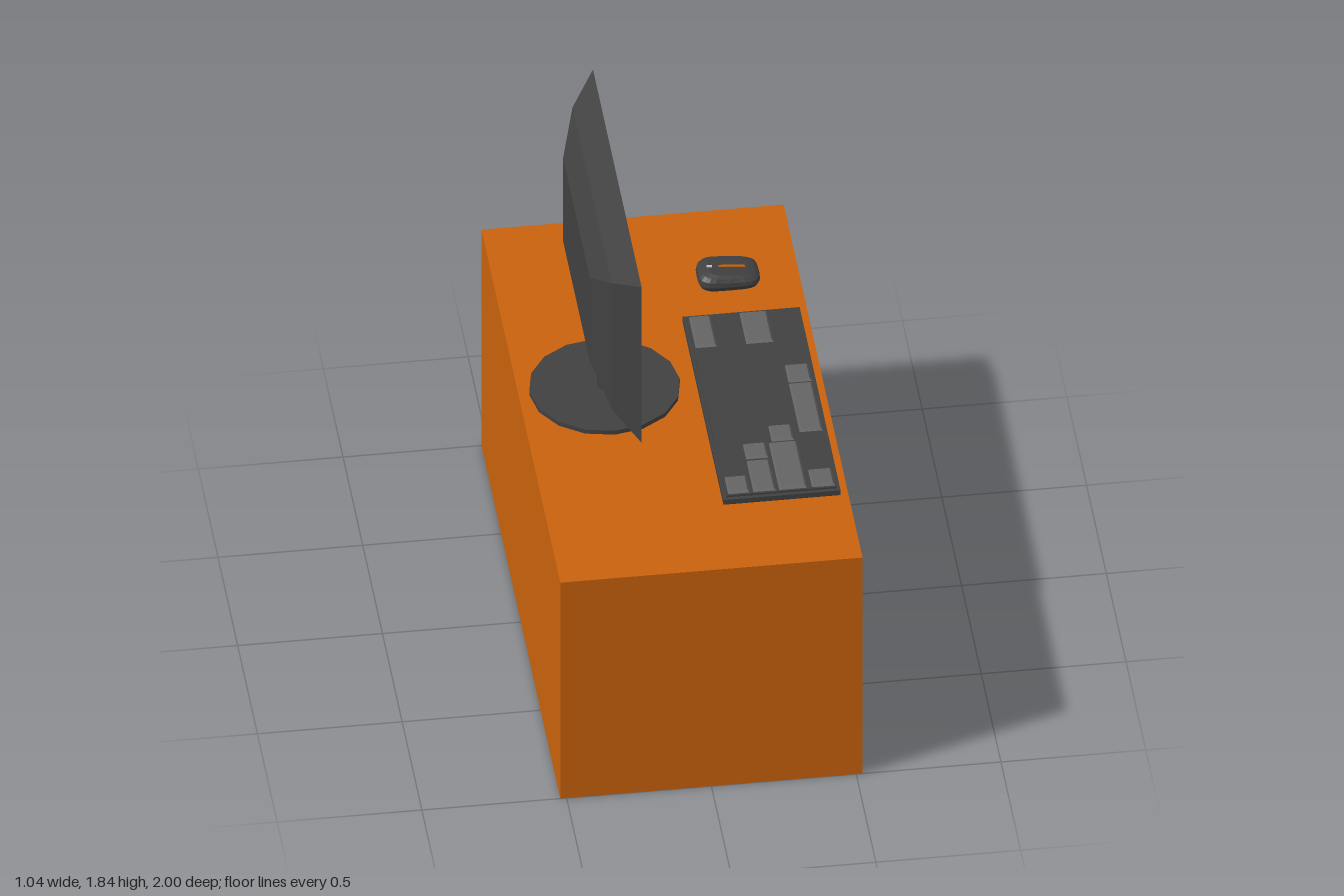
import * as THREE from 'three';

const mat = (name, color, flatShading = false) => {
  const m = new THREE.MeshStandardMaterial({ color, flatShading });
  m.name = name;
  return m;
};

// Skin between closed rings of points, with a flat cap at both ends.
// Rings run counter-clockwise seen from the end the loft moves toward.
function loft(rings) {
  const pos = [], n = rings[0].length;
  const tri = (...pts) => pts.forEach((p) => pos.push(...p));
  for (let i = 0; i < rings.length - 1; i++) {
    for (let j = 0; j < n; j++) {
      const k = (j + 1) % n;
      const a = rings[i][j], b = rings[i][k], c = rings[i + 1][k], d = rings[i + 1][j];
      tri(a, b, c);
      tri(a, c, d);
    }
  }
  const first = rings[0], last = rings[rings.length - 1];
  for (let j = 1; j < n - 1; j++) {
    tri(first[0], first[j + 1], first[j]);
    tri(last[0], last[j], last[j + 1]);
  }
  const g = new THREE.BufferGeometry();
  g.setAttribute('position', new THREE.Float32BufferAttribute(pos, 3));
  g.computeVertexNormals();
  return g;
}

export function createModel() {
  const model = new THREE.Group();
  model.name = 'computerDesk';

  const wood = mat('orangeWood', 0xc8610c);
  const dark = mat('darkPlastic', 0x404040);
  const keyGrey = mat('keyGrey', 0x636363);
  const light = mat('screenGrey', 0xc9c9c9);

  const add = (parent, name, geometry, material) => {
    const mesh = new THREE.Mesh(geometry, material);
    mesh.name = name;
    parent.add(mesh);
    return mesh;
  };
  const group = (name) => {
    const g = new THREE.Group();
    g.name = name;
    model.add(g);
    return g;
  };
  // Box given by its lower and upper bounds
  const box = (parent, name, material, [x0, x1], [y0, y1], [z0, z1]) => {
    const mesh = add(parent, name, new THREE.BoxGeometry(x1 - x0, y1 - y0, z1 - z0), material);
    mesh.position.set((x0 + x1) / 2, (y0 + y1) / 2, (z0 + z1) / 2);
    return mesh;
  };

  // Desk: open on the +x side, closed behind
  const desk = group('desk');
  const H = 0.932, under = 0.785;
  box(desk, 'deskTop', wood, [-0.522, 0.522], [under, H], [-1, 1]);
  box(desk, 'leftPanel', wood, [-0.522, 0.522], [0, under], [0.84, 1]);
  box(desk, 'rightPanel', wood, [-0.522, 0.522], [0, under], [-1, -0.828]);
  box(desk, 'backPanel', wood, [-0.522, -0.41], [0, under], [-0.828, 0.84]);

  // Monitor on a round foot
  const monitor = group('monitor');
  const cz = -0.058, cy = 1.5;
  const foot = add(monitor, 'foot', new THREE.CylinderGeometry(0.26, 0.26, 0.017, 16), dark);
  foot.position.set(-0.225, H + 0.0085, cz);
  const pole = add(monitor, 'pole', new THREE.CylinderGeometry(0.026, 0.026, 0.27, 16), dark);
  pole.position.set(-0.225, H + 0.135, cz);
  const rect = ([x, hy, hz]) => [[-1, -1], [1, -1], [1, 1], [-1, 1]]
    .map(([sy, sz]) => [x, cy + sy * hy, cz + sz * hz]);
  // Tapered back, front edge, bezel and shallow recess
  add(monitor, 'casing', loft([
    [-0.322, 0.18, 0.34], [-0.268, 0.272, 0.498], [-0.181, 0.336, 0.617],
    [-0.181, 0.31, 0.567], [-0.193, 0.31, 0.567],
  ].map(rect)), dark);
  box(monitor, 'screen', light, [-0.194, -0.191], [cy - 0.31, cy + 0.31], [cz - 0.567, cz + 0.567]);

  // Keyboard: base, raised plate and tapered light keys
  const keyboard = group('keyboard');
  box(keyboard, 'keyboardBase', dark, [0.09, 0.495], [H, 0.952], [-0.397, 0.642]);
  box(keyboard, 'keyPlate', dark, [0.102, 0.483], [0.952, 0.959], [-0.385, 0.628]);
  const keys = [
    [0.108, 0.186, -0.382, -0.205], [0.283, 0.381, -0.382, -0.205],
    [0.397, 0.481, -0.07, 0.03], [0.397, 0.481, 0.035, 0.31],
    [0.295, 0.376, 0.26, 0.35], [0.195, 0.276, 0.35, 0.437],
    [0.195, 0.276, 0.445, 0.622], [0.284, 0.384, 0.355, 0.622],
    [0.108, 0.186, 0.525, 0.622], [0.397, 0.481, 0.522, 0.622],
  ];
  const keyRing = (y, [x0, x1, z0, z1], s) => [
    [x0 + s, y, z0 + s], [x0 + s, y, z1 - s], [x1 - s, y, z1 - s], [x1 - s, y, z0 + s],
  ];
  keys.forEach((k) => {
    add(keyboard, 'key', loft([keyRing(0.957, k, 0), keyRing(0.967, k, 0.009)]), keyGrey);
  });

  // Mouse: rounded-rectangle sections, its top sloping down toward +x
  const mouse = group('mouse');
  const mx = 0.277, mz = -0.617;
  const soft = (v) => Math.sign(v) * Math.abs(v) ** 0.5;
  const mouseRing = ([y, hx, hz, slope]) => Array.from({ length: 24 }, (_, i) => {
    const a = (i / 24) * Math.PI * 2;
    const dx = hx * soft(Math.sin(a));
    return [mx + dx, y - slope * dx, mz + hz * soft(Math.cos(a))];
  });
  add(mouse, 'mouseBody', loft([
    [H, 0.1, 0.07, 0], [0.95, 0.108, 0.077, 0], [0.966, 0.104, 0.074, 0.04],
    [0.977, 0.092, 0.066, 0.08], [0.983, 0.07, 0.052, 0.09],
  ].map(mouseRing)), dark);
  [['mouseStripe', wood, 0.29, 0.09], ['mouseLight', light, 0.213, 0.018]].forEach(([name, m, x, len]) => {
    const plate = add(mouse, name, new THREE.BoxGeometry(len, 0.004, 0.01), m);
    plate.position.set(x, 0.983 - 0.09 * (x - mx) + 0.001, mz);
    plate.rotation.z = -0.09;
  });

  return model;
}
